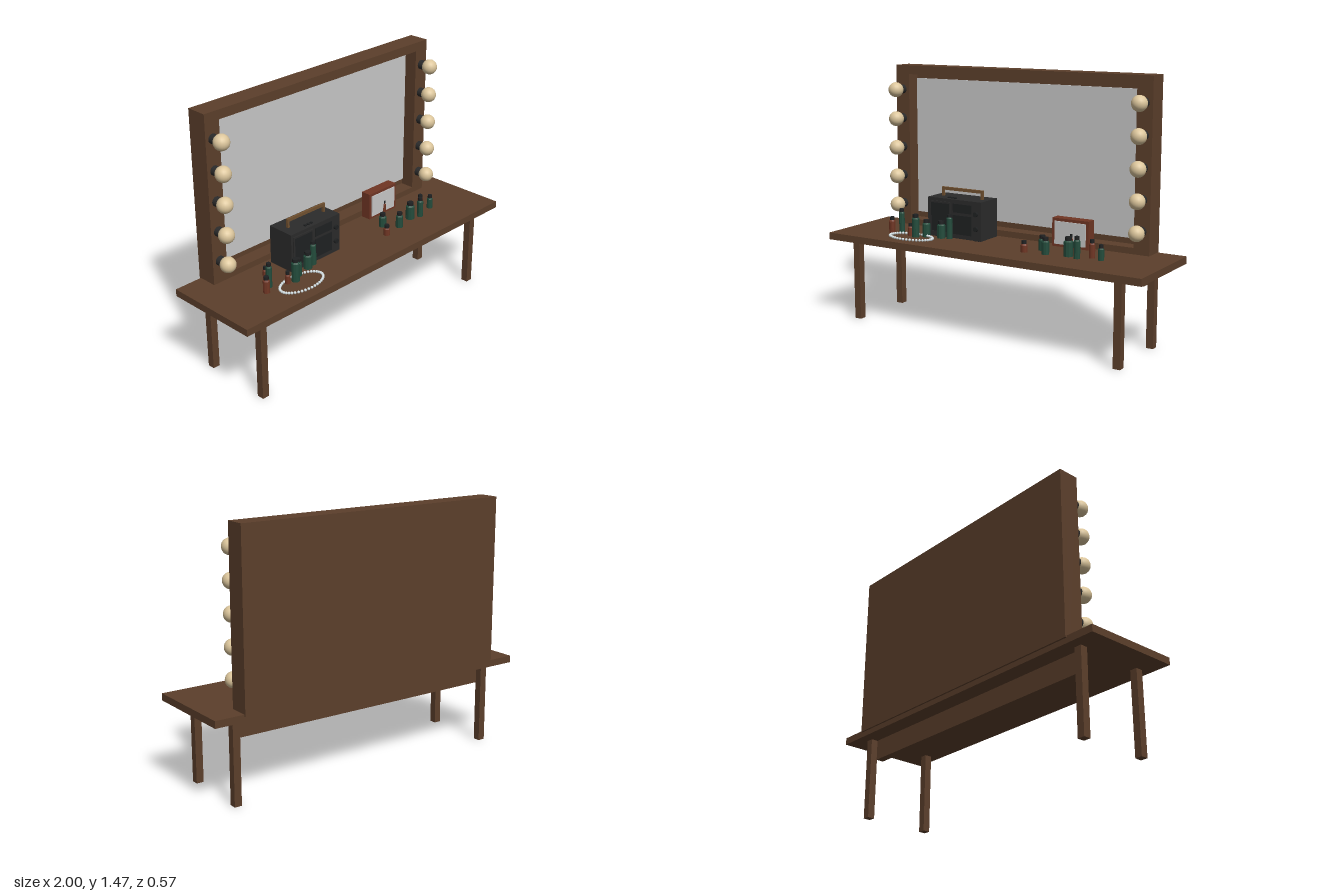
import * as THREE from 'three';

const mat = (name, color, side = THREE.FrontSide) => {
  const m = new THREE.MeshStandardMaterial({ color, side });
  m.name = name;
  return m;
};

export function createModel() {
  const root = new THREE.Group();
  root.name = 'dressingTable';
  const wood = mat('brown wood', 0x5c3f2b);
  const handleWood = mat('light wood', 0x70502f);
  const glass = mat('mirror grey', 0xc8c8c8);
  const cream = mat('warm bulb', 0xdcc69c);
  const dark = mat('dark plastic', 0x2b2b2b);
  const black = mat('black trim', 0x1f2122);
  const green = mat('green glass', 0x234c3c);
  const red = mat('red brown', 0x703624);
  const pearl = mat('pale pearl', 0xd3dde0);

  const add = (name, geo, material, x, y, z, parent = root) => {
    const m = new THREE.Mesh(geo, material);
    m.name = name;
    m.position.set(x, y, z);
    parent.add(m);
    return m;
  };
  // Box given by its limits
  const box = (name, material, x0, x1, y0, y1, z0, z1, parent = root) =>
    add(name, new THREE.BoxGeometry(x1 - x0, y1 - y0, z1 - z0), material,
      (x0 + x1) / 2, (y0 + y1) / 2, (z0 + z1) / 2, parent);
  const group = (name) => {
    const g = new THREE.Group();
    g.name = name;
    root.add(g);
    return g;
  };
  // Rectangular frame with a rectangular opening, extruded from z0 to z1
  const frame = (name, material, o, i, z0, z1, parent = root) => {
    const rect = (T, [x0, x1, y0, y1]) => {
      const s = new T();
      s.moveTo(x0, y0); s.lineTo(x1, y0); s.lineTo(x1, y1); s.lineTo(x0, y1); s.closePath();
      return s;
    };
    const shape = rect(THREE.Shape, o);
    shape.holes.push(rect(THREE.Path, i));
    return add(name, new THREE.ExtrudeGeometry(shape, { depth: z1 - z0, bevelEnabled: false }),
      material, 0, 0, z0, parent);
  };

  // Table
  const table = group('table');
  box('tableTop', wood, -1, 1, 0.47, 0.51, -0.275, 0.285, table);
  for (const s of [-1, 1])
    for (const z of [0.207, -0.193])
      add('leg', new THREE.BoxGeometry(0.042, 0.47, 0.042), wood, s * 0.845, 0.235, z, table);
  box('apron', wood, -0.826, 0.826, 0.353, 0.47, -0.174, -0.128, table);

  // Large mirror
  const mirror = group('mirror');
  box('mirrorBacking', wood, -0.833, 0.833, 0.5, 1.467, -0.285, -0.25, mirror);
  frame('mirrorFrame', wood, [-0.833, 0.833, 0.5, 1.467], [-0.741, 0.741, 0.545, 1.415], -0.25, -0.165, mirror);
  box('mirrorGlass', glass, -0.741, 0.741, 0.578, 1.388, -0.25, -0.243, mirror);

  // Bulbs with sockets
  const lights = group('lights');
  const socket = new THREE.CylinderGeometry(0.027, 0.027, 0.065, 16).rotateX(Math.PI / 2);
  const bulb = new THREE.SphereGeometry(0.044, 20, 14);
  for (const s of [-1, 1])
    for (let i = 0; i < 5; i++) {
      const y = 0.64 + i * 0.1715;
      add('socket', socket, dark, s * 0.787, y, -0.134, lights);
      add('bulb', bulb, cream, s * 0.787, y, -0.098, lights);
    }

  // Radio
  const radio = group('radio');
  box('radioBody', dark, -0.465, -0.102, 0.515, 0.738, -0.128, 0.037, radio);
  for (const x of [-0.43, -0.137])
    for (const z of [-0.1, 0.01])
      box('radioFoot', black, x - 0.015, x + 0.015, 0.51, 0.515, z - 0.015, z + 0.015, radio);
  frame('speakerRim', dark, [-0.452, -0.305, 0.535, 0.72], [-0.442, -0.315, 0.545, 0.71], 0.037, 0.043, radio);
  box('speakerGrille', black, -0.442, -0.315, 0.545, 0.71, 0.037, 0.039, radio);
  box('tunerStrip', black, -0.29, -0.165, 0.665, 0.715, 0.037, 0.041, radio);
  box('tapeDoor', black, -0.29, -0.165, 0.54, 0.65, 0.037, 0.042, radio);
  const knob = new THREE.CylinderGeometry(0.014, 0.014, 0.014, 14).rotateX(Math.PI / 2);
  for (const y of [0.668, 0.583]) add('knob', knob, black, -0.134, y, 0.043, radio);
  for (let i = 0; i < 3; i++)
    add('button', new THREE.BoxGeometry(0.012, 0.008, 0.014), black, -0.335 + i * 0.022, 0.741, 0.01, radio);
  for (const x of [-0.412, -0.146])
    box('handlePost', handleWood, x - 0.007, x + 0.007, 0.738, 0.775, -0.05, -0.036, radio);
  box('handleBar', handleWood, -0.419, -0.139, 0.773, 0.79, -0.05, -0.036, radio);

  // Small mirror box
  const small = group('smallMirror');
  box('smallMirrorBody', red, 0.281, 0.507, 0.515, 0.674, -0.155, -0.094, small);
  box('smallMirrorGlass', glass, 0.298, 0.49, 0.53, 0.658, -0.094, -0.088, small);

  // Bottles: x, z, radius, top height, glass
  const bottles = [
    [-0.69, 0.085, 0.019, 0.604, red], [-0.643, 0.053, 0.017, 0.652, green],
    [-0.595, 0.03 - 0.06, 0.014, 0.58, red], [-0.55, 0.096, 0.015, 0.582, red],
    [-0.503, 0.107, 0.023, 0.642, green], [-0.455, 0.07, 0.024, 0.61, green],
    [-0.362, 0.053, 0.025, 0.61, green], [-0.313, 0.043, 0.018, 0.652, green],
    [0.218, 0.1, 0.019, 0.574, red], [0.281, 0.01, 0.022, 0.594, green],
    [0.342, 0.085, 0.021, 0.604, green], [0.404, -0.096, 0.014, 0.596, red],
    [0.467, 0.058, 0.026, 0.615, green], [0.53, 0.08, 0.018, 0.63, green],
    [0.592, 0.027, 0.017, 0.61, red], [0.656, 0.048, 0.017, 0.594, green],
  ];
  const group2 = group('bottles');
  for (const [x, z, r, top, material] of bottles) {
    const h = top - 0.51, cap = 0.018;
    const profile = [[0, 0], [r, 0], [r, h - cap - 0.008], [r * 0.7, h - cap], [0, h - cap]]
      .map(([a, b]) => new THREE.Vector2(a, b));
    const body = new THREE.LatheGeometry(profile, 10).toNonIndexed();
    body.computeVertexNormals();
    add('bottle', body, material, x, 0.51, z, group2);
    add('bottleCap', new THREE.CylinderGeometry(r * 0.75, r * 0.75, cap, 10), black, x, top - cap / 2, z, group2);
  }

  // Bead necklace lying on the table
  const necklace = group('necklace');
  const bead = new THREE.SphereGeometry(0.008, 8, 6);
  for (let i = 0; i < 40; i++) {
    const a = (i / 40) * Math.PI * 2;
    add('bead', bead, pearl, -0.503 + 0.14 * Math.cos(a), 0.519, 0.152 + 0.077 * Math.sin(a), necklace);
  }
  return root;
}
